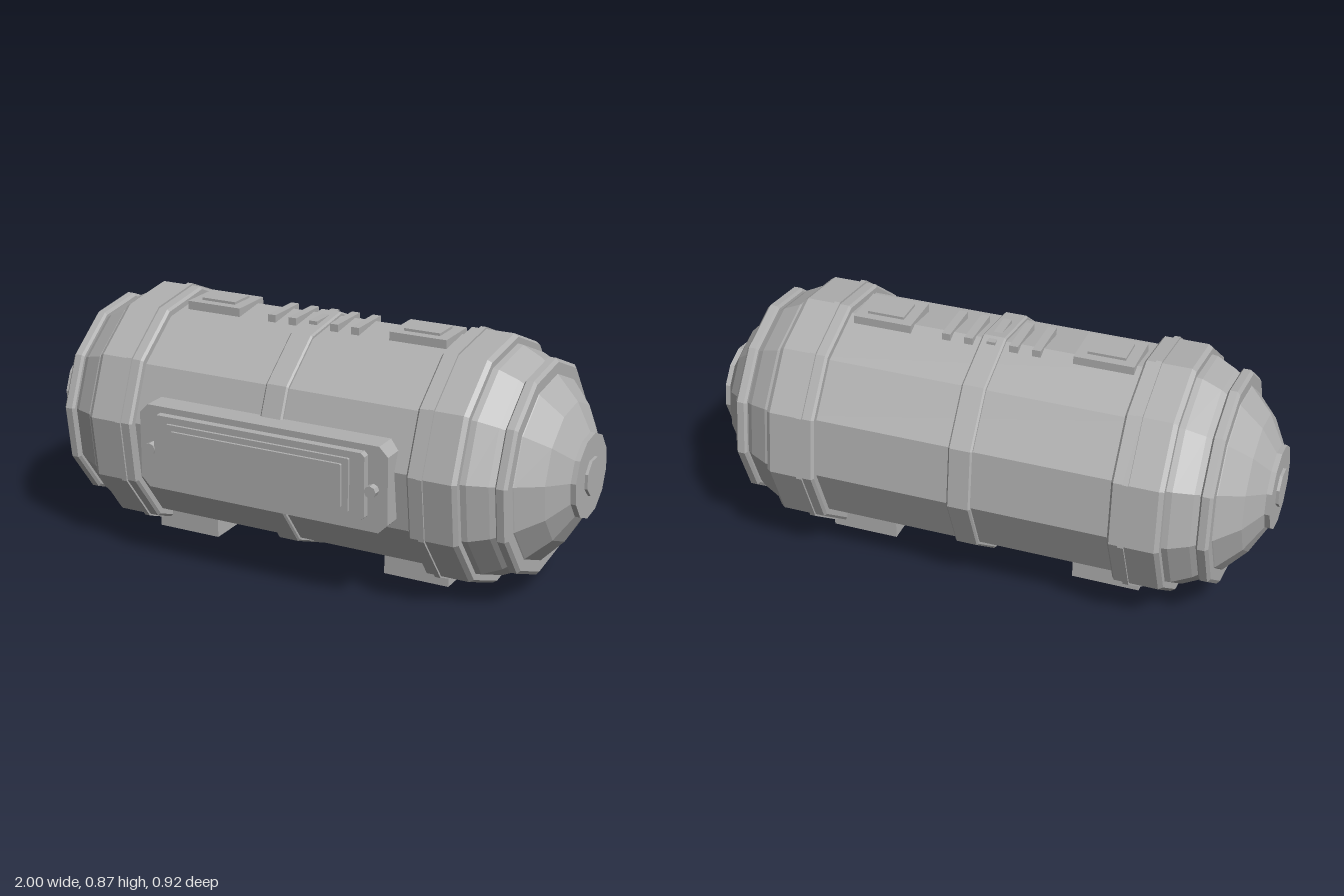
import * as THREE from 'three';

const CY = 0.437, CZ = -0.028; // axis of the capsule
const TURN = THREE.MathUtils.degToRad(-7.5);

export function createModel() {
  const model = new THREE.Group();
  model.name = 'capsule';
  const grey = new THREE.MeshStandardMaterial({ color: 0xb0b0b0, flatShading: true });
  grey.name = 'plain grey';

  function add(name, geometry, x = 0, y = 0, z = 0) {
    const geo = geometry.index ? geometry.toNonIndexed() : geometry;
    geo.computeVertexNormals();
    const mesh = new THREE.Mesh(geo, grey);
    mesh.name = name;
    mesh.position.set(x, y, z);
    model.add(mesh);
    return mesh;
  }

  // Turned part along x from [x, radius] pairs; side -1 mirrors it
  function turned(name, profile, side = 1, sides = 12, turn = TURN) {
    const pts = profile.map(([x, r]) => new THREE.Vector2(r, x * side));
    if (side < 0) pts.reverse();
    const geo = new THREE.LatheGeometry(pts, sides, turn).rotateZ(-Math.PI / 2);
    return add(name, geo, 0, CY, CZ);
  }

  // Box given by its limits
  function block(name, x0, x1, y0, y1, z0, z1) {
    return add(name, new THREE.BoxGeometry(x1 - x0, y1 - y0, z1 - z0),
      (x0 + x1) / 2, (y0 + y1) / 2, (z0 + z1) / 2);
  }

  // Upright plate with cut corners
  function plate(name, w, y0, y1, z0, z1, c) {
    const s = new THREE.Shape([
      [-w + c, y0], [w - c, y0], [w, y0 + c], [w, y1 - c],
      [w - c, y1], [-w + c, y1], [-w, y1 - c], [-w, y0 + c],
    ].map(([x, y]) => new THREE.Vector2(x, y)));
    return add(name, new THREE.ExtrudeGeometry(s, { depth: z1 - z0, bevelEnabled: false }), 0, 0, z0);
  }

  // Barrel and middle hoop
  turned('barrel', [[-0.6, 0.401], [0.6, 0.401]]);
  turned('middleHoop', [[-0.042, 0.395], [-0.042, 0.409], [-0.036, 0.415],
    [0.036, 0.415], [0.042, 0.409], [0.042, 0.395]]);

  for (const side of [1, -1]) {
    // Wide band with a thin rib
    turned('endBand', [[0.52, 0.39], [0.52, 0.421], [0.528, 0.43],
      [0.68, 0.43], [0.695, 0.42], [0.695, 0.38]], side);
    turned('bandRib', [[0.56, 0.42], [0.56, 0.437], [0.58, 0.437], [0.58, 0.42]], side);

    // Domed end
    turned('dome', [[0.68, 0.4], [0.715, 0.396], [0.78, 0.365], [0.845, 0.316],
      [0.92, 0.238], [0.972, 0.145], [0.98, 0]], side);
    turned('domeRing', [[0.8, 0.33], [0.8, 0.36], [0.807, 0.37], [0.832, 0.37],
      [0.842, 0.358], [0.842, 0.3]], side);
    turned('endCap', [[0.955, 0.145], [0.99, 0.145], [0.99, 0]], side);
    turned('endButton', [[0.985, 0.066], [1, 0.066], [1, 0]], side, 8, Math.PI / 8);

    // Foot under the barrel
    const fx = 0.45 * side;
    block('foot', fx - 0.12, fx + 0.12, 0.02, 0.09, -0.203, 0.15);

    // Stepped pad on top
    const px = 0.392 * side;
    block('topPad', px - 0.104, px + 0.104, 0.79, 0.848, -0.117, 0.048);
    block('topPadCentre', px - 0.066, px + 0.066, 0.84, 0.857, -0.085, 0.015);

    // Knob beside the panel
    add('panelKnob', new THREE.CylinderGeometry(0.021, 0.021, 0.04, 8).rotateX(Math.PI / 2),
      0.417 * side, CY, 0.423);
  }

  // Row of slats on top
  for (let i = -2; i <= 2; i++) {
    block('topSlat', i * 0.08 - 0.015, i * 0.08 + 0.015, 0.79, 0.844, -0.117, 0.048);
  }

  // Stepped front panel
  plate('panelBase', 0.468, 0.289, 0.587, 0.3, 0.416, 0.032);
  plate('panelPlate', 0.397, 0.333, 0.565, 0.41, 0.443, 0.012);
  plate('panelFrame', 0.344, 0.358, 0.542, 0.44, 0.453, 0.003);
  plate('panelScreen', 0.321, 0.373, 0.522, 0.45, 0.462, 0.003);

  return model;
}
